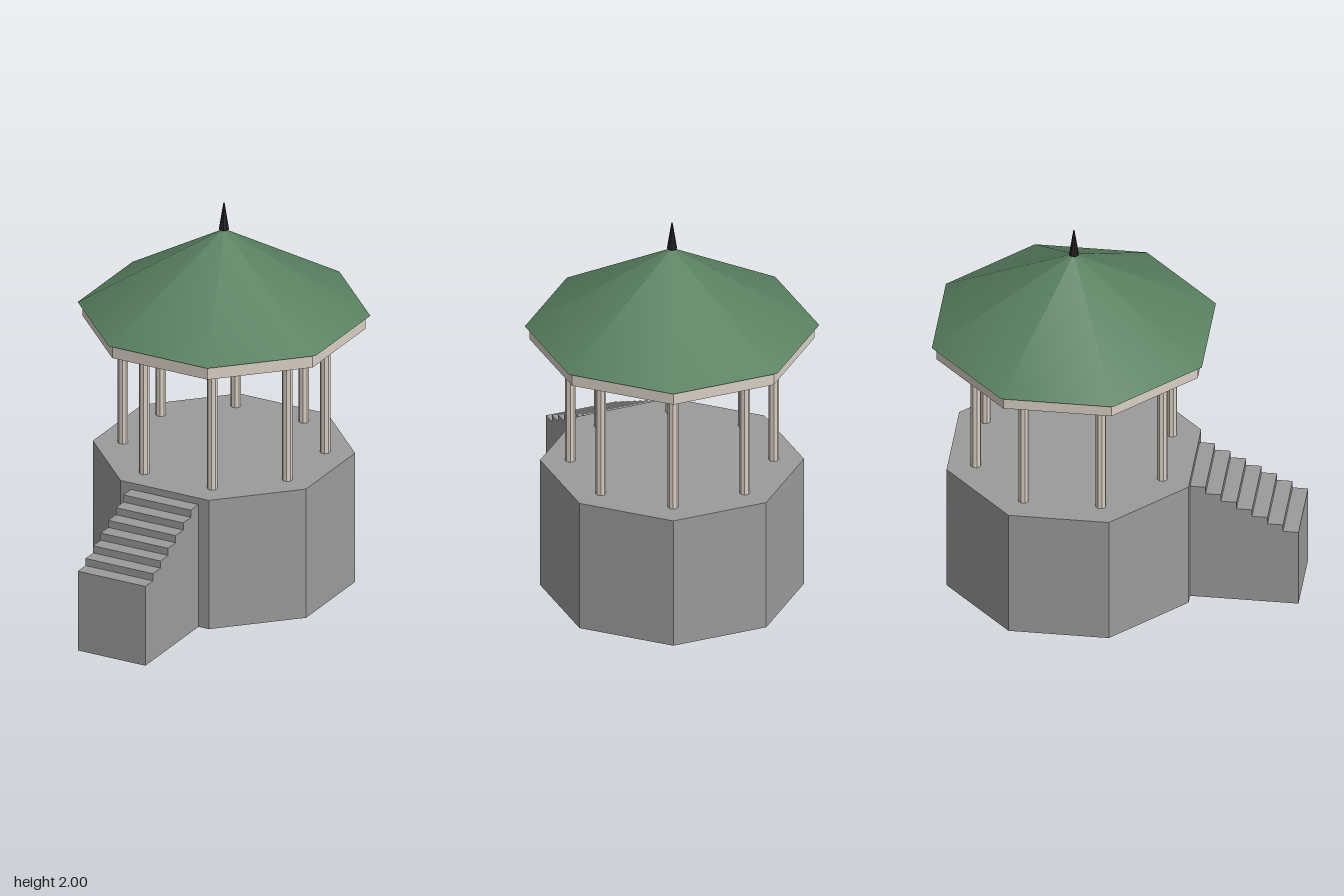
import * as THREE from 'three';
import { mergeGeometries } from 'three/addons/utils/BufferGeometryUtils.js';

const SIDES = 8;
const TURN = Math.PI / SIDES; // puts a flat side to the front
const toRadius = (apothem) => apothem / Math.cos(TURN);

function flat(geometry) {
  const g = geometry.index ? geometry.toNonIndexed() : geometry;
  g.computeVertexNormals();
  return g;
}

// Eight-sided drum with a closed top and an open bottom
function openDrum(apothem, bottom, top) {
  const r = toRadius(apothem);
  const wall = new THREE.CylinderGeometry(r, r, top - bottom, SIDES, 1, true, TURN);
  wall.translate(0, (top + bottom) / 2, 0);
  const lid = new THREE.CircleGeometry(r, SIDES, TURN);
  lid.rotateX(-Math.PI / 2).translate(0, top, 0);
  return mergeGeometries([flat(wall), flat(lid)]);
}

export function createModel() {
  const stone = new THREE.MeshStandardMaterial({ color: 0x9b9b9b, side: THREE.DoubleSide });
  stone.name = 'stone';
  const cream = new THREE.MeshStandardMaterial({ color: 0xd9d0c4, side: THREE.DoubleSide });
  cream.name = 'creamPaint';
  const green = new THREE.MeshStandardMaterial({ color: 0x598060, side: THREE.DoubleSide });
  green.name = 'greenRoofing';
  const black = new THREE.MeshStandardMaterial({ color: 0x222222 });
  black.name = 'blackMetal';

  const model = new THREE.Group();
  model.name = 'bandstand';
  const pavilion = new THREE.Group();
  pavilion.name = 'pavilion';
  pavilion.position.z = -0.232;
  model.add(pavilion);

  function add(parent, name, geometry, material) {
    const mesh = new THREE.Mesh(geometry, material);
    mesh.name = name;
    parent.add(mesh);
    return mesh;
  }

  // Raised base and the band under the eaves
  add(pavilion, 'base', openDrum(0.597, 0, 0.69), stone);
  add(pavilion, 'eavesBand', openDrum(0.645, 1.36, 1.43), cream);

  // Columns, one towards each corner
  const columnGeometry = flat(new THREE.CylinderGeometry(0.026, 0.026, 0.67, 8, 1, false, TURN));
  for (let i = 0; i < SIDES; i++) {
    const a = TURN + (i * 2 * Math.PI) / SIDES;
    const column = add(pavilion, 'column', columnGeometry, cream);
    column.position.set(0.498 * Math.sin(a), 1.025, 0.498 * Math.cos(a));
  }

  // Roof with softly shaded slopes
  const roof = new THREE.ConeGeometry(toRadius(0.666), 0.43, SIDES, 1, true, TURN);
  add(pavilion, 'roof', roof.translate(0, 1.645, 0), green);

  // Spire
  const spire = flat(new THREE.CylinderGeometry(0.003, 0.025, 0.142, 8, 1, false, TURN));
  add(pavilion, 'spire', spire.translate(0, 1.929, 0), black);

  // Stairs: stepped side profile (z, y) extruded across the width
  const steps = 7, front = 0.9, back = 0.365, low = 0.425, rise = 0.0383;
  const tread = (front - back) / steps;
  const profile = new THREE.Shape();
  profile.moveTo(back, 0);
  profile.lineTo(front, 0);
  for (let i = 0; i < steps; i++) {
    profile.lineTo(front - i * tread, low + i * rise);
    profile.lineTo(front - (i + 1) * tread, low + i * rise);
  }
  const stairs = new THREE.ExtrudeGeometry(profile, { depth: 0.378, bevelEnabled: false });
  stairs.rotateY(-Math.PI / 2).translate(0.189, 0, 0);
  add(model, 'stairs', stairs, stone);

  return model;
}
